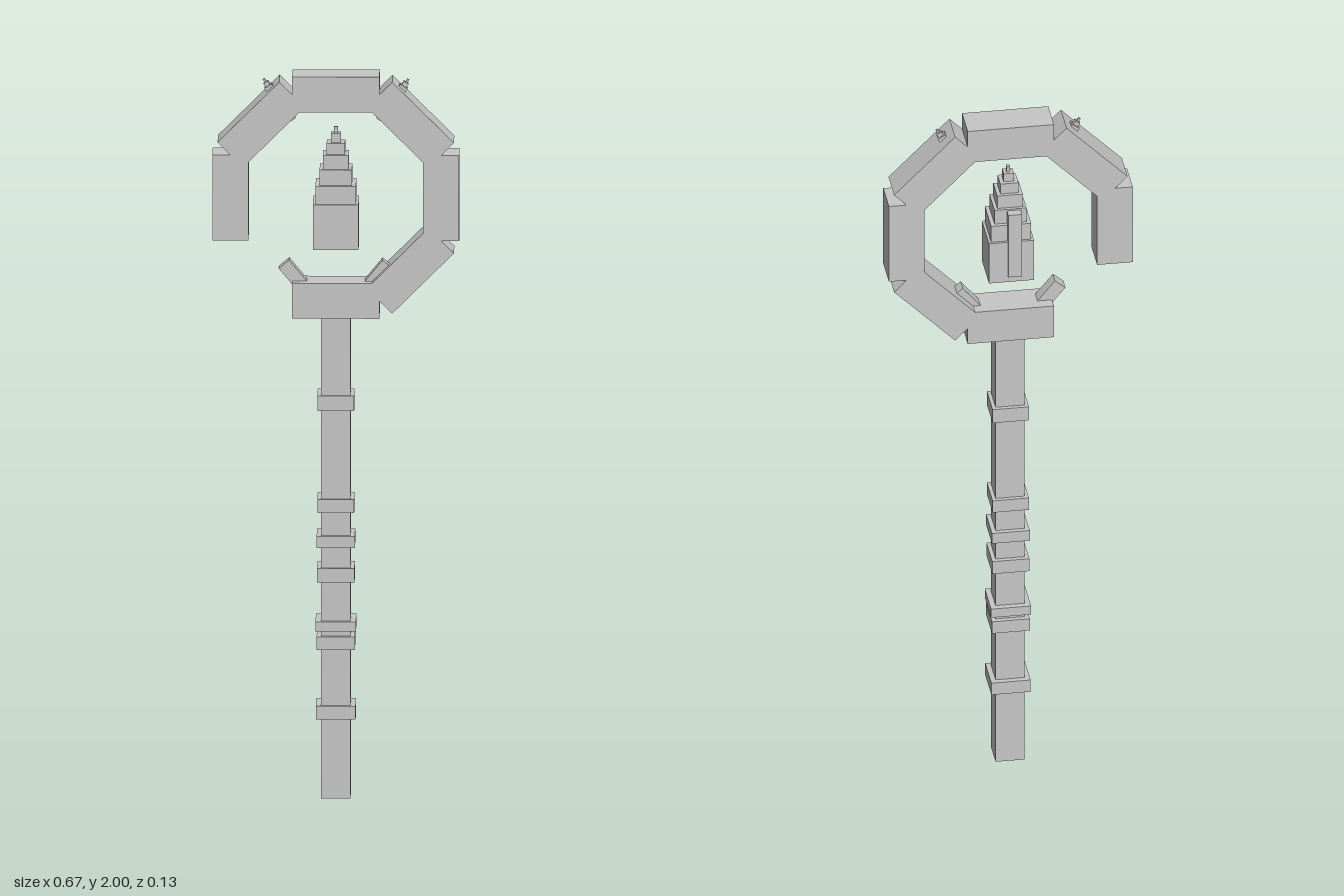
import * as THREE from 'three';

export function createModel() {
  const root = new THREE.Group();
  root.name = 'staff';
  const stone = new THREE.MeshStandardMaterial({ color: 0xc6c6c6 });
  stone.name = 'pale grey stone';

  const box = (name, w, h, d, x, y, z = 0.002, tilt = 0, parent = root) => {
    const mesh = new THREE.Mesh(new THREE.BoxGeometry(w, h, d), stone);
    mesh.name = name;
    mesh.position.set(x, y, z);
    mesh.rotation.z = tilt;
    parent.add(mesh);
    return mesh;
  };

  // Square shaft with raised bands: [centre height, thickness, width]
  box('shaft', 0.08, 1.36, 0.08, 0, 0.68, 0.005);
  const bands = [
    [1.097, 0.042, 0.1], [0.812, 0.037, 0.1], [0.713, 0.032, 0.104],
    [0.62, 0.039, 0.102], [0.479, 0.027, 0.11], [0.432, 0.037, 0.104], [0.24, 0.037, 0.108],
  ];
  for (const [y, h, w] of bands) box('shaftBand', w, h, w, 0, y, 0.003);

  // Octagonal hoop of equal blocks, open at the lower corner on the -x side
  const centreY = 1.667;
  for (let i = 0; i < 8; i++) {
    if (i === 5) continue;
    const a = (i * Math.PI) / 4;
    box('hoopBlock', 0.098, 0.237, 0.099,
      0.286 * Math.cos(a), centreY + 0.286 * Math.sin(a), 0.002, a);
  }

  for (const s of [-1, 1]) {
    // Prongs leaning outwards through the bottom block
    box('prong', 0.037, 0.22, 0.038, s * 0.071, 1.392, 0.005, -s * 0.69);

    // Stepped thorns driven through the upper diagonal blocks
    const thorn = new THREE.Group();
    thorn.name = 'thorn';
    thorn.position.set(s * 0.123, 1.872, 0.002);
    thorn.rotation.z = -s * 0.57;
    root.add(thorn);
    let y = 0;
    for (const [w, h] of [[0.032, 0.1], [0.024, 0.014], [0.015, 0.012], [0.006, 0.01]]) {
      box('thornStep', w, h, w, 0, y + h / 2, 0, 0, thorn);
      y += h;
    }
  }

  // Floating stepped crystal: [half width, top height]
  const crystal = new THREE.Group();
  crystal.name = 'crystal';
  root.add(crystal);
  let base = 1.525;
  const tiers = [
    [0.062, 1.65], [0.055, 1.7], [0.044, 1.743], [0.035, 1.782],
    [0.025, 1.813], [0.014, 1.838], [0.005, 1.855],
  ];
  for (const [r, top] of tiers) {
    box('crystalTier', r * 2, top - base, r * 2, 0, (top + base) / 2, 0.002, 0, crystal);
    base = top;
  }
  // Upright rib on the back of the crystal
  box('crystalRib', 0.038, 0.195, 0.04, -0.009, 1.641, -0.047, 0, crystal);

  return root;
}
